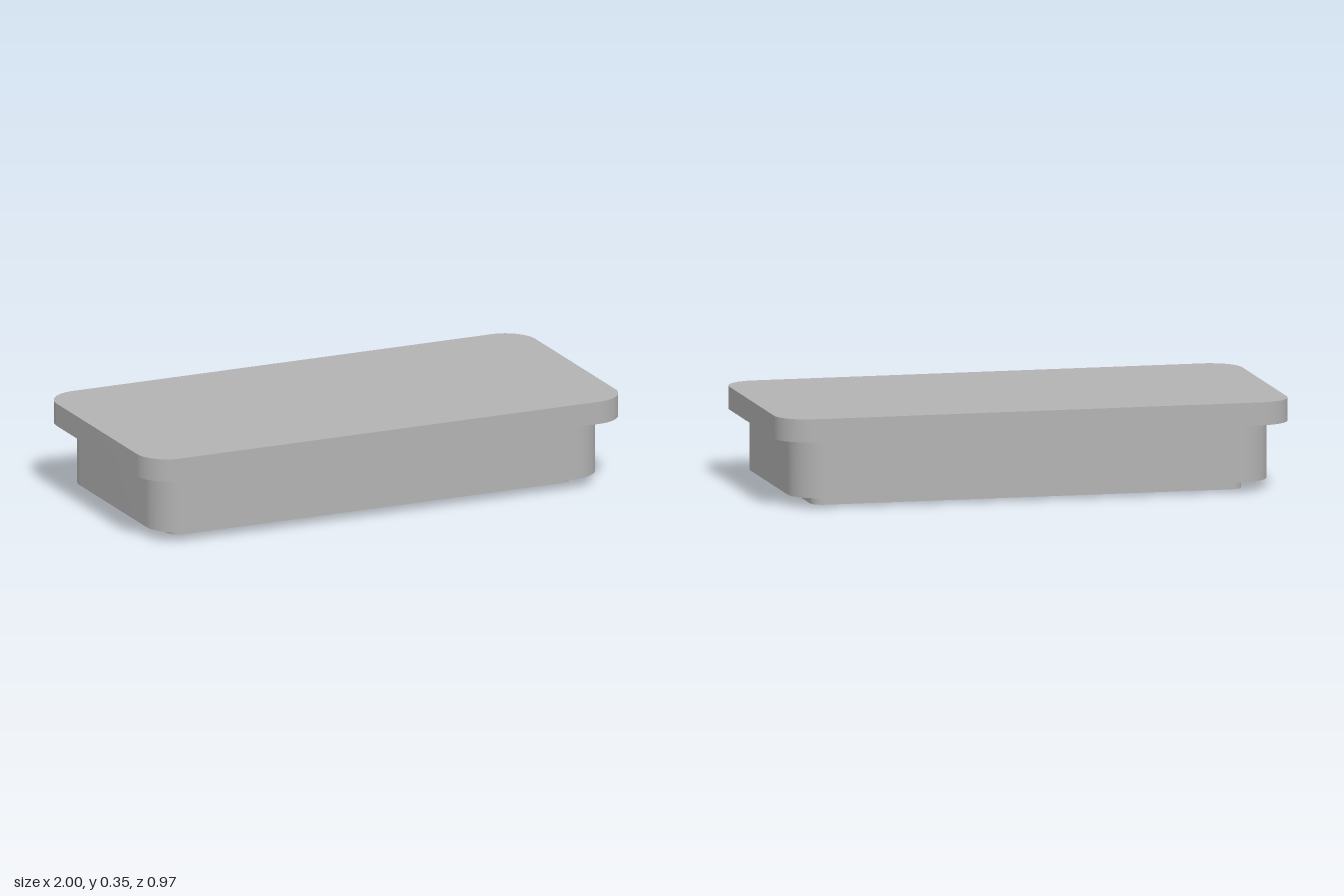
import * as THREE from 'three';

// Rounded rectangle with half sizes a, b and corner radius r
function roundedRect(a, b, r, Type = THREE.Shape) {
  const s = new Type();
  s.moveTo(a, -b + r);
  s.absarc(a - r, b - r, r, 0, Math.PI / 2);
  s.absarc(-a + r, b - r, r, Math.PI / 2, Math.PI);
  s.absarc(-a + r, -b + r, r, Math.PI, Math.PI * 1.5);
  s.absarc(a - r, -b + r, r, Math.PI * 1.5, Math.PI * 2);
  s.closePath();
  return s;
}

// Vertical slab from y0 to y1, with smooth rounded corners
function slab(name, shape, y0, y1, material) {
  const geometry = new THREE.ExtrudeGeometry(shape, { depth: y1 - y0, bevelEnabled: false, curveSegments: 16 });
  geometry.rotateX(-Math.PI / 2);
  geometry.translate(0, y0, 0);
  smoothWalls(geometry);
  const mesh = new THREE.Mesh(geometry, material);
  mesh.name = name;
  return mesh;
}

// Average the side normals where wall strips meet; caps stay flat
function smoothWalls(geometry) {
  const p = geometry.attributes.position, n = geometry.attributes.normal;
  const sums = new Map();
  const key = (i) => [p.getX(i), p.getY(i), p.getZ(i)].map((v) => Math.round(v * 1e4)).join();
  const isWall = (i) => Math.abs(n.getY(i)) < 0.5;
  for (let i = 0; i < p.count; i++) {
    if (!isWall(i)) continue;
    const k = key(i);
    if (!sums.has(k)) sums.set(k, new THREE.Vector3());
    sums.get(k).add(new THREE.Vector3().fromBufferAttribute(n, i));
  }
  for (let i = 0; i < p.count; i++) {
    if (!isWall(i)) continue;
    const v = sums.get(key(i)).clone().normalize();
    n.setXYZ(i, v.x, v.y, v.z);
  }
}

export function createModel() {
  const group = new THREE.Group();
  group.name = 'liddedTray';
  const grey = new THREE.MeshStandardMaterial({ color: 0xb2b2b2 });
  grey.name = 'grey';

  // Foot ring with a shallow recess underneath
  const foot = roundedRect(0.84, 0.327, 0.05);
  foot.holes.push(roundedRect(0.738, 0.225, 0.04, THREE.Path));

  group.add(
    slab('footRing', foot, 0, 0.04, grey),
    slab('body', roundedRect(0.932, 0.421, 0.125), 0.04, 0.267, grey),
    slab('lid', roundedRect(1, 0.484, 0.125), 0.267, 0.355, grey),
  );
  return group;
}
